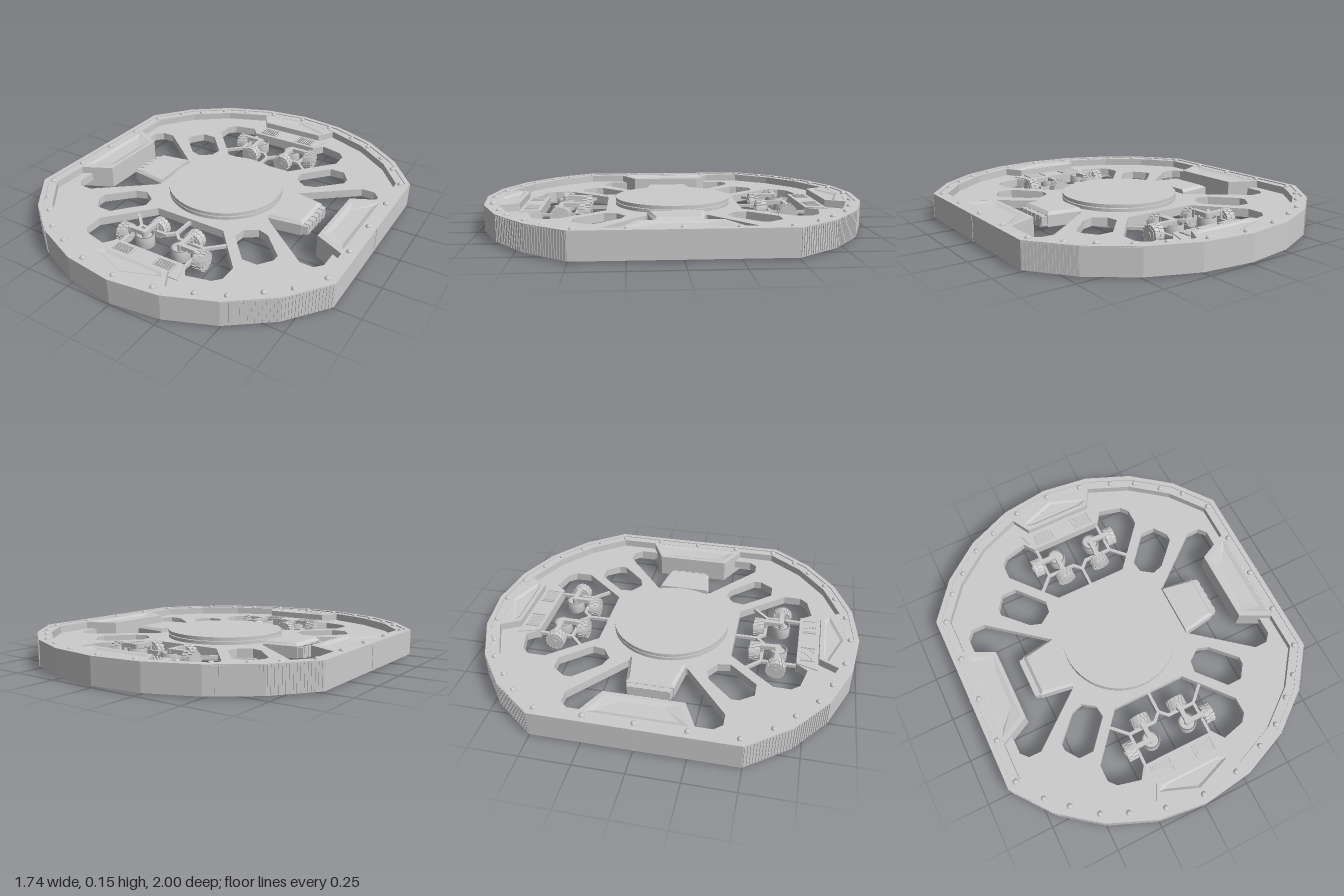
import * as THREE from 'three';
import { mergeGeometries } from 'three/addons/utils/BufferGeometryUtils.js';

const grey = new THREE.MeshStandardMaterial({ color: 0xcccccc });
const V = (x, y) => new THREE.Vector2(x, y);

// Merges geometries into one named mesh, keeping only positions and normals
function part(name, geos) {
  const list = [geos].flat().map(g => (g.index ? g.toNonIndexed() : g).deleteAttribute('uv'));
  const mesh = new THREE.Mesh(mergeGeometries(list), grey);
  mesh.name = name;
  return mesh;
}

const box = (w, h, d, x, y, z, turn = 0) =>
  new THREE.BoxGeometry(w, h, d).rotateY(turn).translate(x, y, z);

const disc = (rTop, rBottom, h, y, n = 64) =>
  new THREE.CylinderGeometry(rTop, rBottom, h, n).translate(0, y, 0);

// Horizontal slab cut from a plan outline, with optional holes
function slab(outline, holes, y0, y1) {
  const shape = new THREE.Shape(outline);
  shape.holes = holes.map(h => new THREE.Path(h));
  return new THREE.ExtrudeGeometry(shape, { depth: y1 - y0, bevelEnabled: false })
    .rotateX(-Math.PI / 2).translate(0, y0, 0);
}

// Moves a convex counter-clockwise outline inwards by d
function inset(pts, d) {
  const n = pts.length;
  const normal = (a, b) => V(b.y - a.y, a.x - b.x).normalize();
  return pts.map((p, i) => {
    const a = normal(pts[(i + n - 1) % n], p), b = normal(p, pts[(i + 1) % n]);
    return p.clone().addScaledVector(a.clone().add(b), -d / (1 + a.dot(b)));
  });
}

// Joins plan outlines at rising heights, capped at both ends
function loft(sections) {
  const rings = sections.map(([pts, y]) => {
    const r = pts.map(([x, z]) => V(x, -z));
    if (THREE.ShapeUtils.area(r) < 0) r.reverse();
    return r.map(p => [p.x, y, -p.y]);
  });
  const out = [], n = rings[0].length;
  for (let k = 0; k + 1 < rings.length; k++) {
    for (let i = 0; i < n; i++) {
      const j = (i + 1) % n, a = rings[k], b = rings[k + 1];
      out.push(a[i], a[j], b[j], a[i], b[j], b[i]);
    }
  }
  const first = rings[0], last = rings[rings.length - 1];
  for (let i = 1; i + 1 < n; i++) {
    out.push(last[0], last[i], last[i + 1], first[0], first[i + 1], first[i]);
  }
  const g = new THREE.BufferGeometry();
  g.setAttribute('position', new THREE.Float32BufferAttribute(out.flat(), 3));
  g.computeVertexNormals();
  return g;
}

// Block with a shallow sloping tray sunk into its top and underside
const trayBlock = (outer, lip, floor) => loft([
  [floor, 0.022], [lip, 0.014], [outer, 0.014], [outer, 0.136], [lip, 0.136], [floor, 0.128],
]);

// Straight square bar between two plan points
function bar(x0, z0, x1, z1, t = 0.016, y = 0.075) {
  const dx = x1 - x0, dz = z1 - z0;
  return box(Math.hypot(dx, dz) + t * 0.5, t, t, (x0 + x1) / 2, y, (z0 + z1) / 2, -Math.atan2(dz, dx));
}

// Lugged wheel with its axle along y
function wheel() {
  const geos = [disc(0.046, 0.046, 0.05, 0, 24), disc(0.036, 0.036, 0.056, 0, 24), disc(0.015, 0.015, 0.064, 0, 12)];
  for (let i = 0; i < 16; i++) {
    for (const s of [-1, 1]) {
      geos.push(box(0.008, 0.025, 0.013, 0.046, s * 0.0135, 0).rotateY((i + s * 0.25) * Math.PI / 8));
    }
  }
  return geos;
}

function wheelCluster() {
  const g = new THREE.Group();
  g.name = 'wheelCluster';
  const side = part('sideWheel', wheel());
  side.rotation.z = Math.PI / 2;
  side.position.set(0.12, 0, 0);
  const inner = part('innerWheel', wheel());
  inner.rotation.x = Math.PI / 2;
  inner.position.set(0, 0, -0.12);
  g.add(side, inner);
  // Swivel ring crossed by elbow arms
  const ring = [[0.039, -0.03], [0.049, -0.03], [0.049, 0.03], [0.039, 0.03], [0.039, -0.03]];
  g.add(part('swivel', [
    new THREE.LatheGeometry(ring.map(([r, y]) => V(r, y)), 24),
    disc(0.041, 0.041, 0.03, 0, 24), disc(0.016, 0.016, 0.09, 0, 12),
    bar(0, 0, 0.1, 0, 0.024, 0.036), bar(0, 0, 0, -0.1, 0.024, 0.036),
    box(0.014, 0.06, 0.03, 0.084, 0.016, 0), box(0.03, 0.06, 0.014, 0, 0.016, -0.084),
  ]));
  return g;
}

// Everything in one end bay, built towards +z
function endBay() {
  const g = new THREE.Group();
  g.name = 'endBay';
  g.add(part('endBlock', trayBlock(
    [[-0.24, 0.9], [-0.185, 0.8], [0.185, 0.8], [0.24, 0.9], [0, 0.945]],
    [[-0.2, 0.845], [-0.165, 0.822], [0.165, 0.822], [0.2, 0.845], [0, 0.92]],
    [[-0.165, 0.845], [-0.14, 0.832], [0.14, 0.832], [0.165, 0.845], [0, 0.905]])));
  const panel = [[-0.235, 0.8], [-0.2, 0.69], [0.2, 0.69], [0.235, 0.8]];
  g.add(part('ventPanel', loft([[panel, 0.048], [panel, 0.102]])));
  const slats = [], frame = [];
  for (const s of [-1, 1]) {
    for (const y of [0.046, 0.104]) {
      for (let i = 0; i < 9; i++) {
        slats.push(box(0.09, 0.007, 0.004, s * 0.122, y, 0.712 + i * 0.008));
      }
      frame.push(box(0.006, 0.008, 0.074, s * 0.066, y, 0.744), box(0.006, 0.008, 0.074, s * 0.172, y, 0.744));
    }
    frame.push(bar(s * 0.19, 0.7, s * 0.19, 0.51), bar(s * 0.19, 0.51, s * 0.275, 0.425),
      bar(s * 0.19, 0.51, s * 0.04, 0.51), bar(s * 0.04, 0.51, 0, 0.47));
    const cluster = wheelCluster();
    cluster.position.set(s * 0.107, 0.075, 0.59);
    cluster.scale.x = s;
    g.add(cluster);
  }
  frame.push(bar(0, 0.47, 0, 0.35));
  g.add(part('ventSlats', slats), part('wheelFrame', frame));
  return g;
}

// Side block and hub pod, built towards +x
function sideBay() {
  const g = new THREE.Group();
  g.name = 'sideBay';
  g.add(part('sideBlock', trayBlock(
    [[0.81, 0.285], [0.64, 0.2], [0.64, -0.2], [0.81, -0.285]],
    [[0.79, 0.245], [0.66, 0.18], [0.66, -0.18], [0.79, -0.245]],
    [[0.768, 0.2], [0.685, 0.11], [0.685, -0.11], [0.768, -0.2]])));
  const pod = [[0.34, 0.147], [0.52, 0.12], [0.52, -0.12], [0.34, -0.147]];
  const podFace = [[0.34, 0.135], [0.505, 0.105], [0.505, -0.105], [0.34, -0.135]];
  g.add(part('pod', loft([[podFace, 0.03], [pod, 0.045], [pod, 0.105], [podFace, 0.12]])));
  const tip = [[0.51, 0.118], [0.548, 0.108], [0.548, -0.108], [0.51, -0.118]];
  const teeth = [loft([[tip, 0.05], [tip, 0.1]])];
  for (let i = -2; i <= 2; i++) teeth.push(box(0.03, 0.058, 0.022, 0.535, 0.075, i * 0.042));
  g.add(part('podTip', teeth));
  return g;
}

export function createModel() {
  const model = new THREE.Group();
  model.name = 'model';

  // Circle in 15 degree steps, cut flat at both sides
  const hull = [];
  for (const start of [-150, 30]) {
    for (let a = start; a <= start + 120; a += 15) {
      const t = THREE.MathUtils.degToRad(a);
      hull.push(V(Math.cos(t), Math.sin(t)));
    }
  }
  model.add(part('outerRim', slab(hull, [inset(hull, 0.026)], 0.008, 0.142)));
  model.add(part('rimFlange', slab(inset(hull, 0.024), [inset(hull, 0.07)], 0.013, 0.137)));

  // Spoked deck with bays and diagonal slots
  const endHole = [[-0.2, 0.355], [-0.4, 0.59], [-0.4, 0.68], [-0.365, 0.72], [-0.243, 0.75], [-0.2, 0.69],
    [0.2, 0.69], [0.243, 0.75], [0.365, 0.72], [0.4, 0.68], [0.4, 0.59], [0.2, 0.355]];
  const sideHole = [[0.35, 0.155], [0.64, 0.39], [0.71, 0.39], [0.745, 0.35],
    [0.745, -0.35], [0.71, -0.39], [0.64, -0.39], [0.35, -0.155]];
  const slot = [[0.53, 0.44], [0.48, 0.51], [0.4, 0.51], [0.275, 0.365], [0.285, 0.3],
    [0.35, 0.255], [0.41, 0.275], [0.53, 0.4]];
  const holes = [];
  for (const s of [-1, 1]) {
    holes.push(endHole.map(([x, y]) => V(x, y * s)), sideHole.map(([x, y]) => V(x * s, y)));
    for (const t of [-1, 1]) holes.push(slot.map(([x, y]) => V(x * s, y * t)));
  }
  model.add(part('deck', slab(inset(hull, 0.06), holes, 0.053, 0.097)));

  // Central hub with a groove above and below the deck
  model.add(part('hub', [disc(0.31, 0.31, 0.018, 0.127), disc(0.295, 0.295, 0.1, 0.075),
    disc(0.31, 0.31, 0.018, 0.105), disc(0.31, 0.31, 0.018, 0.045), disc(0.31, 0.31, 0.018, 0.023)]));

  for (const turn of [0, Math.PI]) {
    const end = endBay(), side = sideBay();
    end.rotation.y = side.rotation.y = turn;
    model.add(end, side);
  }

  // Rivets on both faces of the rim
  const rivets = [];
  const spots = [[0, 0.955], [0.2, 0.93], [0.375, 0.87], [0.505, 0.81], [0.625, 0.71], [0.725, 0.62],
    [0.818, 0.48], [0.822, 0.245], [0.822, 0]];
  for (const [x, z] of spots) {
    for (const sx of x ? [-1, 1] : [1]) for (const sz of z ? [-1, 1] : [1]) for (const up of [-1, 1]) {
      rivets.push(new THREE.SphereGeometry(0.015, 10, 6).scale(1, 0.85, 1)
        .translate(x * sx, 0.075 + up * 0.062, z * sz));
    }
  }
  model.add(part('rivets', rivets));

  // Grip ribs on the four corner facets
  const ribs = [];
  for (const sx of [-1, 1]) for (const sz of [-1, 1]) for (const deg of [30, 45]) {
    const [p, e] = [deg, deg + 15].map(d => THREE.MathUtils.degToRad(d))
      .map(a => V(sx * Math.sin(a), sz * Math.cos(a)));
    for (let i = 0; i < 16; i++) {
      const c = p.clone().lerp(e, (i + 0.5) / 16);
      ribs.push(box(0.009, 0.126, 0.006, c.x, 0.075, c.y, -Math.atan2(e.y - p.y, e.x - p.x)));
    }
  }
  model.add(part('gripRibs', ribs));

  // Seam strips on the flat sides
  model.add(part('seamStrips', [-1, 1].map(s => box(0.004, 0.136, 0.014, s * 0.866, 0.075, 0))));
  return model;
}
